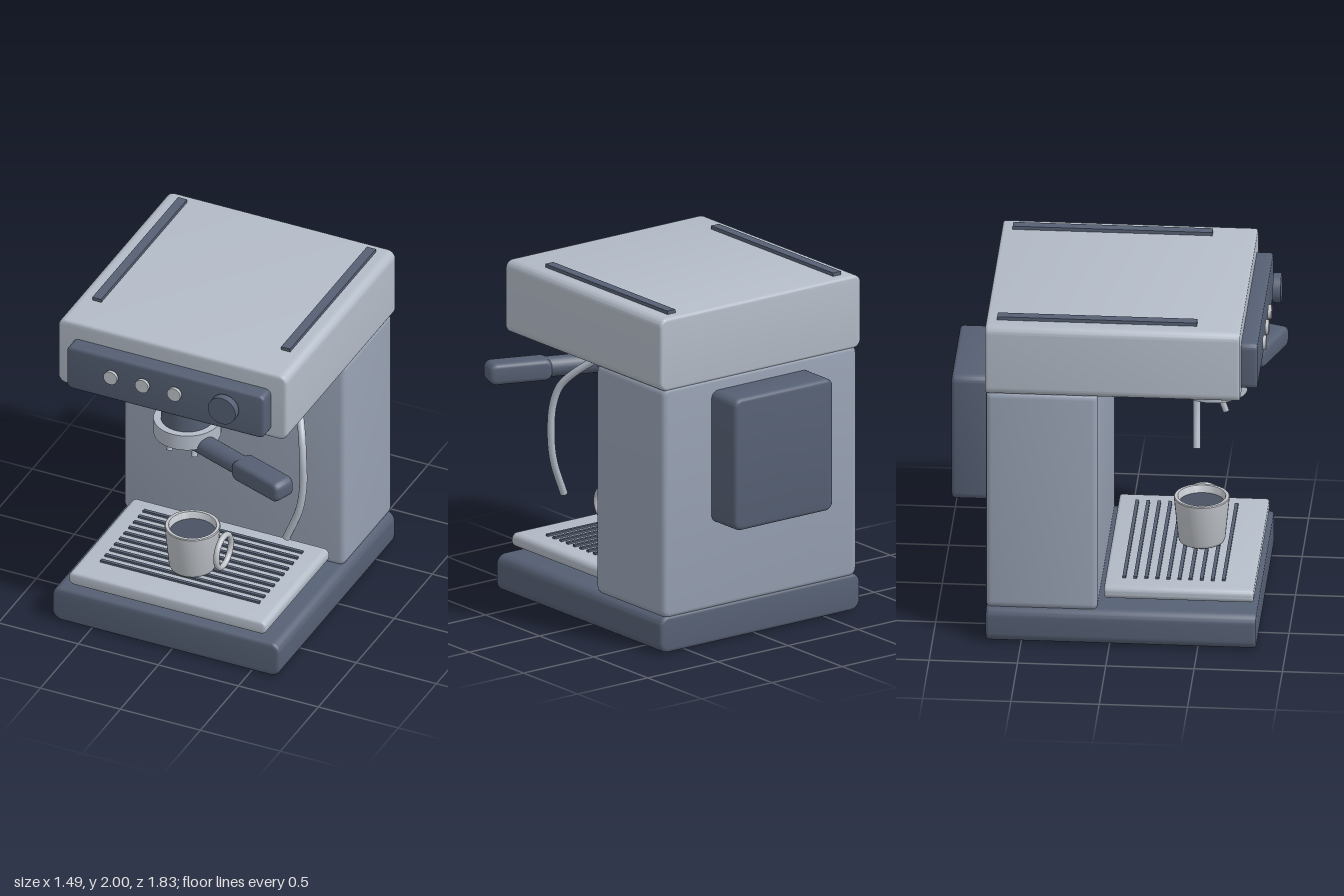
import * as THREE from 'three';
import { toCreasedNormals } from 'three/addons/utils/BufferGeometryUtils.js';

const mat = (color) => new THREE.MeshStandardMaterial({ color });
const CX = -0.037; // centre line of the machine

export function createModel() {
  const steel = mat(0xb4bcc8), bodyGrey = mat(0x98a2b4), dark = mat(0x566074);
  const china = mat(0xc0c4ca), coffee = mat(0x4a5262);
  const model = new THREE.Group();
  model.name = 'espressoMachine';

  const add = (name, geometry, material, x = 0, y = 0, z = 0, parent = model) => {
    const mesh = new THREE.Mesh(geometry, material);
    mesh.name = name;
    mesh.position.set(x, y, z);
    parent.add(mesh);
    return mesh;
  };

  // Rounded rectangle in x/y, extruded along z with a bevel, centred on the origin
  const slab = (w, h, d, r, bevel) => {
    const a = w / 2 - bevel, b = h / 2 - bevel, c = Math.max(r - bevel, 0.004);
    const s = new THREE.Shape();
    s.absarc(a - c, b - c, c, 0, Math.PI / 2);
    s.absarc(-a + c, b - c, c, Math.PI / 2, Math.PI);
    s.absarc(-a + c, -b + c, c, Math.PI, Math.PI * 1.5);
    s.absarc(a - c, -b + c, c, Math.PI * 1.5, Math.PI * 2);
    s.closePath();
    const g = new THREE.ExtrudeGeometry(s, {
      depth: d - 2 * bevel, bevelSize: bevel, bevelThickness: bevel, bevelSegments: 3, curveSegments: 6,
    });
    g.translate(0, 0, -d / 2 + bevel);
    return toCreasedNormals(g, 0.6);
  };

  // Slab given by its limits in x, y and z
  const block = (name, material, [x0, x1], [y0, y1], [z0, z1], r, bevel) =>
    add(name, slab(x1 - x0, y1 - y0, z1 - z0, r, bevel), material,
      (x0 + x1) / 2, (y0 + y1) / 2, (z0 + z1) / 2);

  // Cylinder between two points
  const rod = (name, from, to, radius, material) => {
    const a = new THREE.Vector3(...from), b = new THREE.Vector3(...to);
    const dir = b.clone().sub(a);
    const mesh = add(name, new THREE.CylinderGeometry(radius, radius, dir.length(), 24), material);
    mesh.position.copy(a).add(b).multiplyScalar(0.5);
    mesh.quaternion.setFromUnitVectors(new THREE.Vector3(0, 1, 0), dir.normalize());
    return mesh;
  };

  // Housing
  block('base', dark, [-0.748, 0.675], [0.0, 0.217], [-0.7, 0.83], 0.06, 0.02);
  block('column', bodyGrey, [-0.727, 0.655], [0.2, 1.57], [-0.7, -0.07], 0.05, 0.03);
  block('head', steel, [-0.752, 0.678], [1.55, 1.98], [-0.703, 0.74], 0.05, 0.017);
  block('waterTank', dark, [-0.388, 0.315], [0.71, 1.49], [-0.92, -0.68], 0.05, 0.022);
  for (const x of [-0.627, 0.553])
    add('topRail', new THREE.BoxGeometry(0.056, 0.03, 1.13), dark, x, 1.985, -0.075);

  // Control panel
  block('controlPanel', dark, [-0.655, 0.58], [1.592, 1.873], [0.72, 0.832], 0.035, 0.016);
  const disc = (r, d) => new THREE.CylinderGeometry(r, r, d, 32).rotateX(Math.PI / 2);
  for (const x of [-0.367, -0.17, 0.03])
    add('button', disc(0.042, 0.02), china, x, 1.755, 0.853);
  add('knob', disc(0.086, 0.045), dark, 0.346, 1.755, 0.873);

  // Brew group
  add('groupHead', new THREE.CylinderGeometry(0.15, 0.15, 0.15, 40), dark, CX, 1.465, 0.54);
  add('filterCollar', new THREE.CylinderGeometry(0.192, 0.192, 0.096, 40), steel, CX, 1.343, 0.54);
  for (const x of [-0.113, 0.041])
    rod('spout', [x, 1.31, 0.575], [x, 1.195, 0.615], 0.018, steel);

  // Filter handle, swung towards the left front
  const swing = THREE.MathUtils.degToRad(20);
  rod('handleNeck', [-0.035, 1.297, 0.57], [0.47, 1.297, 0.757], 0.06, dark);
  const grip = add('handleGrip', slab(0.375, 0.125, 0.14, 0.045, 0.025), dark, 0.548, 1.294, 0.786);
  grip.rotation.y = -swing;

  // Steam wand
  add('wandFlange', new THREE.CylinderGeometry(0.105, 0.105, 0.03, 32), dark, 0.479, 1.545, 0.135);
  const wandPath = new THREE.CatmullRomCurve3([
    [0.463, 1.495, 0.164], [0.535, 1.41, 0.265], [0.587, 1.316, 0.345], [0.61, 1.2, 0.382],
    [0.617, 1.03, 0.392], [0.594, 0.86, 0.397], [0.516, 0.65, 0.403],
  ].map((p) => new THREE.Vector3(...p)));
  add('steamWand', new THREE.TubeGeometry(wandPath, 48, 0.022, 12), steel);
  for (const [t, sign] of [[0, -1], [1, 1]]) {
    const cap = add('wandEnd', new THREE.CircleGeometry(0.022, 12), steel);
    cap.position.copy(wandPath.getPoint(t));
    cap.quaternion.setFromUnitVectors(new THREE.Vector3(0, 0, 1),
      wandPath.getTangent(t).multiplyScalar(sign));
  }

  // Drip tray with dark grille bars
  block('dripTray', steel, [-0.655, 0.58], [0.248, 0.33], [-0.037, 0.81], 0.036, 0.016);
  for (let i = 0; i < 10; i++)
    add('grilleBar', new THREE.BoxGeometry(0.995, 0.014, 0.02), dark, CX, 0.335, 0.07 + i * 0.0625);

  // Cup: outer wall, rim and inner wall in one profile
  const cup = new THREE.Group();
  cup.name = 'cup';
  cup.position.set(CX, 0.343, 0.472);
  model.add(cup);
  const profile = [[0, 0], [0.115, 0], [0.128, 0.008], [0.134, 0.025], [0.158, 0.274], [0.154, 0.279],
    [0.136, 0.279], [0.132, 0.274], [0.118, 0.03], [0, 0.03]];
  const cupGeo = new THREE.LatheGeometry(profile.map((p) => new THREE.Vector2(...p)), 40);
  add('cupWall', toCreasedNormals(cupGeo, 0.7), china, 0, 0, 0, cup);
  add('coffee', new THREE.CircleGeometry(0.131, 40).rotateX(-Math.PI / 2), coffee, 0, 0.235, 0, cup);
  add('cupHandle', new THREE.TorusGeometry(0.096, 0.017, 12, 40).rotateY(Math.PI / 2), china,
    0.194, 0.157, 0, cup);

  return model;
}
